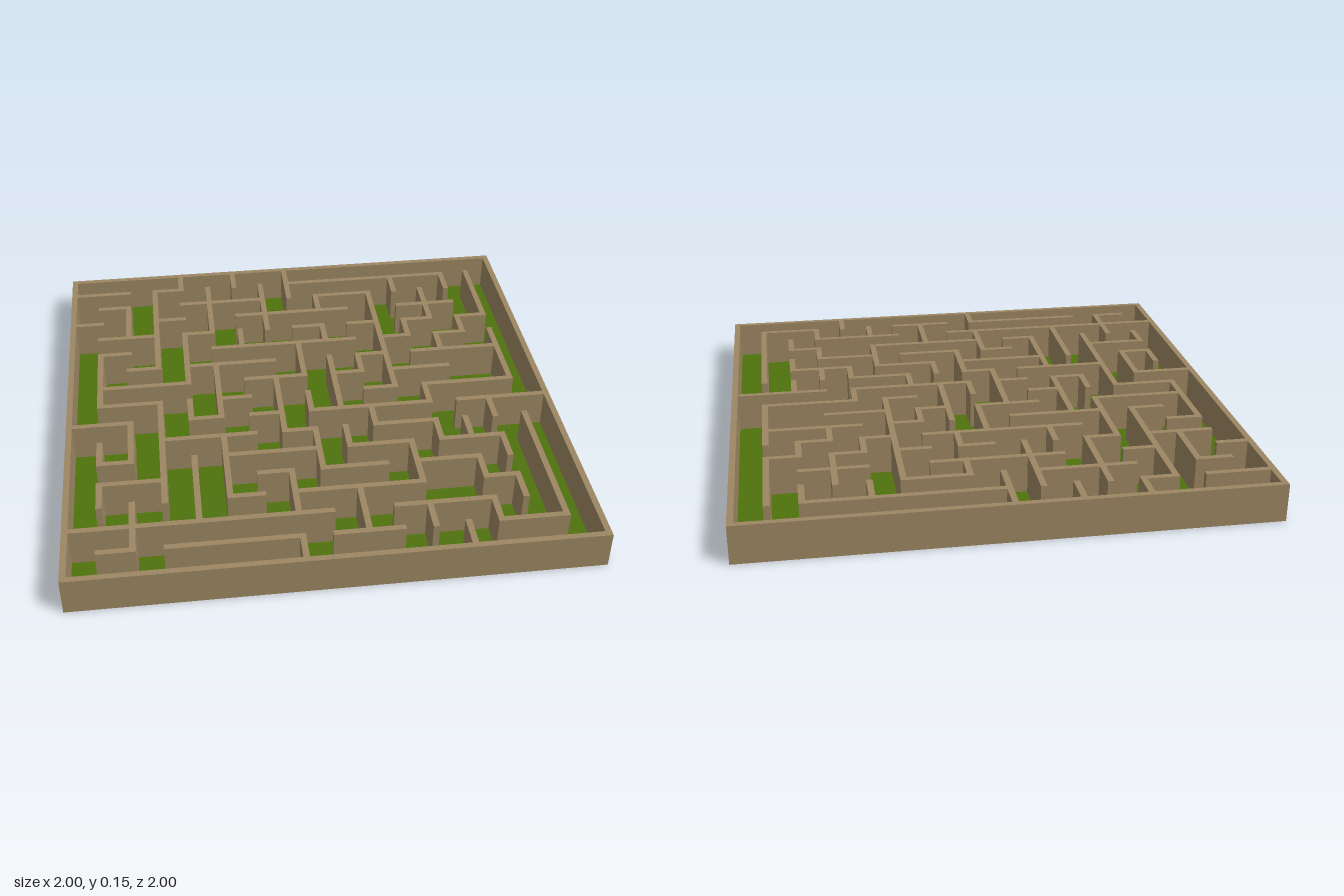
import * as THREE from 'three';

const CELLS = 16, T = 0.024, HEIGHT = 0.15;
const PITCH = (2 - T) / CELLS;
const at = (i) => (i - CELLS / 2) * PITCH;

// Wall runs along x, one entry per inner grid line from back to front
const ROWS = [
  '0-2 3-4 8-14', '1-2 4-7 9-11', '0-1 3-4 6-10 12-14',
  '1-3 4-5 8-9 10-11 12-13 14-15', '1-2 5-10 11-12 13-14',
  '2-3 4-7 10-11 12-15', '1-4 6-8 9-10 11-13', '1-3 5-6 10-11 12-15',
  '0-2 4-5 6-7 8-12 13-16', '3-6 7-8 10-12', '1-2 5-8 9-11 12-14',
  '1-3 6-7 8-10 11-13', '5-6 7-11 13-14', '0-8 10-13', '1-2 3-7 8-10 13-15',
];

// Wall runs along z, one entry per inner grid line from -x to +x
const COLUMNS = [
  '5-8 10-11 12-13', '2-4 9-11 13-15', '1-6 8-13', '0-1 4-7 8-9 11-14',
  '1-4 6-9 10-13', '0-1 4-5', '1-4 7-10 12-14 15-16', '0-2 5-7 8-9 10-12',
  '2-3 4-5 6-9 10-11 13-15', '6-7 9-10', '2-8 11-13 14-15',
  '1-2 4-5 8-9 10-11 15-16', '2-4 5-6 10-11 12-13 14-15',
  '1-2 4-5 9-10 11-12 13-14', '1-4 5-8 10-15',
];

export function createModel() {
  const model = new THREE.Group();
  model.name = 'maze';
  const wallMaterial = new THREE.MeshStandardMaterial({ color: 0x9c8662 });
  const floorMaterial = new THREE.MeshStandardMaterial({ color: 0x4f720d, side: THREE.DoubleSide });

  // One straight wall on grid line `line`, from grid point a to b
  function addWall(parent, name, line, a, b, alongX, bottom = 0.001) {
    const length = (b - a) * PITCH + T, h = HEIGHT - bottom;
    const geometry = new THREE.BoxGeometry(alongX ? length : T, h, alongX ? T : length);
    const wall = new THREE.Mesh(geometry, wallMaterial);
    const middle = at((a + b) / 2);
    wall.position.set(alongX ? middle : at(line), bottom + h / 2, alongX ? at(line) : middle);
    wall.name = name;
    parent.add(wall);
  }

  // Floor inside the border
  const floor = new THREE.Mesh(new THREE.PlaneGeometry(2 - 2 * T, 2 - 2 * T), floorMaterial);
  floor.rotation.x = -Math.PI / 2;
  floor.name = 'floor';
  model.add(floor);

  // Closed border
  const border = new THREE.Group();
  border.name = 'border';
  for (const line of [0, CELLS]) {
    addWall(border, 'borderWall', line, 0, CELLS, true, 0);
    addWall(border, 'borderWall', line, 0, CELLS, false, 0);
  }
  model.add(border);

  // Inner walls in both directions
  for (const [name, lines, alongX] of [['crossWalls', ROWS, true], ['lengthwiseWalls', COLUMNS, false]]) {
    const group = new THREE.Group();
    group.name = name;
    lines.forEach((runs, k) => {
      for (const run of runs.split(' ')) {
        const [a, b] = run.split('-').map(Number);
        addWall(group, 'innerWall', k + 1, a, b, alongX);
      }
    });
    model.add(group);
  }
  return model;
}
